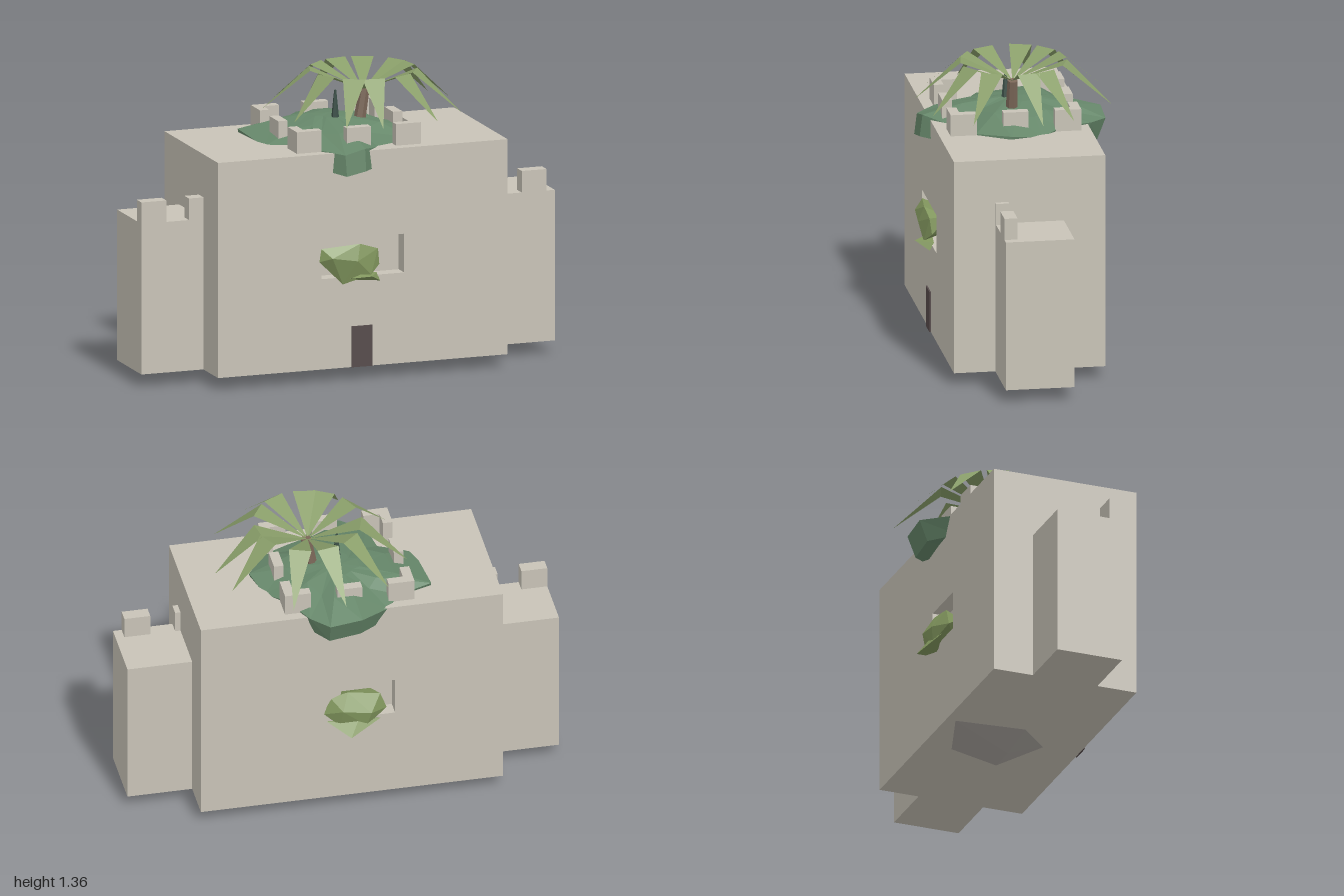
import * as THREE from 'three';
import { ConvexGeometry } from 'three/addons/geometries/ConvexGeometry.js';

const paint = (color, side = THREE.FrontSide) =>
  new THREE.MeshStandardMaterial({ color, flatShading: true, side });

const stone = paint(0xc8c3b7);
const doorDark = paint(0x564b4b);
const rockGrey = paint(0xaaa59f);
const mossGreen = paint(0x66876a);
const bushGreen = paint(0x82975e);
const frondGreen = paint(0x8a9f6a, THREE.DoubleSide);
const bark = paint(0x7c6859);
const shootGreen = paint(0x3c5048);

export function createModel() {
  const model = new THREE.Group();

  const add = (name, geometry, material, parent = model) => {
    const mesh = new THREE.Mesh(geometry, material);
    mesh.name = name;
    parent.add(mesh);
    return mesh;
  };
  // Box given by its extents on each axis
  const box = (name, x0, x1, y0, y1, z0, z1, material = stone, parent = model) => {
    const g = new THREE.BoxGeometry(x1 - x0, y1 - y0, z1 - z0);
    g.translate((x0 + x1) / 2, (y0 + y1) / 2, (z0 + z1) / 2);
    return add(name, g, material, parent);
  };
  const rect = (path, x0, x1, y0, y1) =>
    path.moveTo(x0, y0).lineTo(x1, y0).lineTo(x1, y1).lineTo(x0, y1).closePath();

  // Keep: solid core with a pierced wall on the front and back
  const BASE = 0.06, ROOF = 1.06, Z0 = -0.335, Z1 = 0.36, WALL = 0.07;
  const piercedWall = (name, z, x0, x1) => {
    const shape = rect(new THREE.Shape(), -0.7, 0.7, BASE, ROOF);
    shape.holes.push(rect(new THREE.Path(), x0, x1, 0.48, 0.66));
    const g = new THREE.ExtrudeGeometry(shape, { depth: WALL, bevelEnabled: false });
    add(name, g.translate(0, 0, z), stone);
  };
  box('keepCore', -0.7, 0.7, BASE, ROOF, Z0 + WALL, Z1 - WALL);
  piercedWall('frontWall', Z1 - WALL, -0.2, 0.2);
  piercedWall('backWall', Z0, -0.2, 0.05);
  box('door', -0.055, 0.045, BASE, 0.25, Z1, Z1 + 0.007, doorDark);

  // Side wings with battlements along the front edge
  for (const [side, a, b] of [['right', -1, -0.7], ['left', 0.7, 1]]) {
    box(side + 'Wing', a, b, BASE, 0.76, -0.145, 0.17);
  }
  for (const [a, b] of [[-1, -0.88], [-0.77, -0.7], [0.7, 0.725], [0.84, 0.96]]) {
    box('wingMerlon', a, b, 0.76, 0.86, 0.11, 0.17);
  }

  // Rooftop battlements: L-shaped corners and one merlon per side
  const crown = new THREE.Group();
  crown.name = 'roofBattlements';
  crown.position.set(0, 0, 0.01);
  model.add(crown);
  const OUT = 0.3, IN = 0.255, END = 0.18, TOP = 1.16;
  for (let i = 0; i < 4; i++) {
    const turn = new THREE.Group();
    turn.name = 'battlementSide';
    turn.rotation.y = i * Math.PI / 2;
    crown.add(turn);
    box('middleMerlon', -0.058, 0.058, ROOF, TOP, IN, OUT, stone, turn);
    box('cornerMerlonLong', END, OUT, ROOF, TOP, IN, OUT, stone, turn);
    box('cornerMerlonShort', IN, OUT, ROOF, TOP, END, IN, stone, turn);
  }

  // Shallow pointed rock under the keep
  const tip = [0, 0, 0.01];
  const rim = [[0.27, 0.06], [0.18, -0.2], [-0.12, -0.3], [-0.15, 0.04], [0, 0.19]];
  const rockPoints = [new THREE.Vector3(...tip)];
  for (const [x, z] of rim) {
    rockPoints.push(new THREE.Vector3(x, BASE + 0.002, z), new THREE.Vector3(x * 0.9, BASE + 0.05, z * 0.9));
  }
  add('undersideRock', new ConvexGeometry(rockPoints), rockGrey);

  // Roof foliage: one irregular outline, stacked at several heights
  const outline = [
    [-0.4, -0.2], [-0.38, 0.1], [-0.22, 0.15], [-0.2, 0.3], [-0.1, 0.41], [0, 0.4], [0.1, 0.3], [0.3, 0.2],
    [0.4, 0.05], [0.36, -0.1], [0.28, -0.2], [0.2, -0.35], [0.12, -0.43], [-0.03, -0.43], [-0.17, -0.33], [-0.24, -0.25],
  ];
  // Rings: height, scale, z shift
  const rings = [[0.93, 0.3, 0], [0.97, 0.96, 0.02], [1.065, 0.99, -0.005], [1.115, 0.6, -0.03], [1.145, 0.22, -0.06]];
  const pos = [], index = [], n = outline.length;
  rings.forEach(([y, s, dz], r) => outline.forEach(([x, z], i) => {
    const bump = r === 0 || r === 4 ? 0 : 0.012 * Math.sin(i * 2.4 + r);
    pos.push(x * s, y + bump, z * s + dz);
    if (r === rings.length - 1) return;
    const a = r * n + i, b = r * n + (i + 1) % n;
    index.push(a, b, a + n, b, b + n, a + n);
  }));
  pos.push(0, 0.93, 0, 0, 1.15, -0.07);
  const last = (rings.length - 1) * n, bottom = rings.length * n;
  for (let i = 0; i < n; i++) {
    const j = (i + 1) % n;
    index.push(bottom, j, i, bottom + 1, last + i, last + j);
  }
  const foliage = new THREE.BufferGeometry();
  foliage.setAttribute('position', new THREE.Float32BufferAttribute(pos, 3));
  foliage.setIndex(index);
  foliage.computeVertexNormals();
  add('roofFoliage', foliage, mossGreen);

  // Bushes growing out of the two windows
  const bush = (name, points) =>
    add(name, new ConvexGeometry(points.map(p => new THREE.Vector3(...p))), bushGreen);
  bush('frontBush', [
    [-0.2, 0.62, 0.36], [-0.21, 0.56, 0.36], [-0.16, 0.58, 0.4], [-0.02, 0.635, 0.38], [0.07, 0.605, 0.37],
    [0.08, 0.53, 0.36], [-0.04, 0.56, 0.405], [-0.1, 0.45, 0.37], [0.03, 0.49, 0.39],
    [-0.15, 0.6, 0.28], [0.04, 0.6, 0.28], [-0.05, 0.5, 0.28],
  ]);
  bush('frontBushLeaf', [
    [-0.1, 0.47, 0.36], [0.02, 0.49, 0.43], [0.08, 0.455, 0.37], [0.07, 0.49, 0.35], [-0.06, 0.5, 0.34],
  ]);
  bush('backBush', [
    [0.1, 0.6, -0.33], [0.02, 0.625, -0.34], [-0.13, 0.6, -0.34], [-0.16, 0.52, -0.34], [-0.08, 0.53, -0.39],
    [0.05, 0.55, -0.385], [0.13, 0.52, -0.34], [-0.06, 0.46, -0.38], [0.06, 0.46, -0.36],
    [-0.1, 0.58, -0.26], [0.03, 0.58, -0.26], [-0.03, 0.5, -0.26],
  ]);
  bush('backBushLeaf', [
    [0.12, 0.48, -0.34], [0.02, 0.43, -0.425], [-0.13, 0.48, -0.36], [-0.02, 0.49, -0.38], [0, 0.45, -0.33],
  ]);

  // Palm: leaning trunk and a crown of folded, drooping fronds
  const trunk = add('palmTrunk', new THREE.CylinderGeometry(0.024, 0.03, 0.21, 7), bark);
  trunk.position.set(0.125, 1.16, 0);
  trunk.rotation.z = -0.17;
  const heart = new THREE.Vector3(0.135, 1.26, 0);
  const tips = [
    [0.58, -0.07], [0.53, -0.22], [0.29, -0.43], [0.05, -0.45], [-0.17, -0.34], [-0.3, -0.14],
    [-0.27, 0.19], [-0.09, 0.39], [0.07, 0.44], [0.35, 0.4], [0.52, 0.24],
  ];
  tips.forEach(([x, z]) => {
    const end = new THREE.Vector3(x, 1.175, z);
    const across = new THREE.Vector3(-(z - heart.z), 0, x - heart.x).normalize().multiplyScalar(0.052);
    const mid = heart.clone().lerp(end, 0.53).setY(1.36);
    const g = new THREE.BufferGeometry().setFromPoints([heart, mid.clone().add(across), mid.clone().sub(across), end]);
    g.setIndex([0, 1, 2, 1, 3, 2]);
    g.computeVertexNormals();
    add('palmFrond', g, frondGreen);
  });

  // Small pointed shoot beside the palm
  add('shoot', new THREE.CylinderGeometry(0.005, 0.022, 0.17, 6), shootGreen).position.set(-0.003, 1.185, 0.01);

  return model;
}
